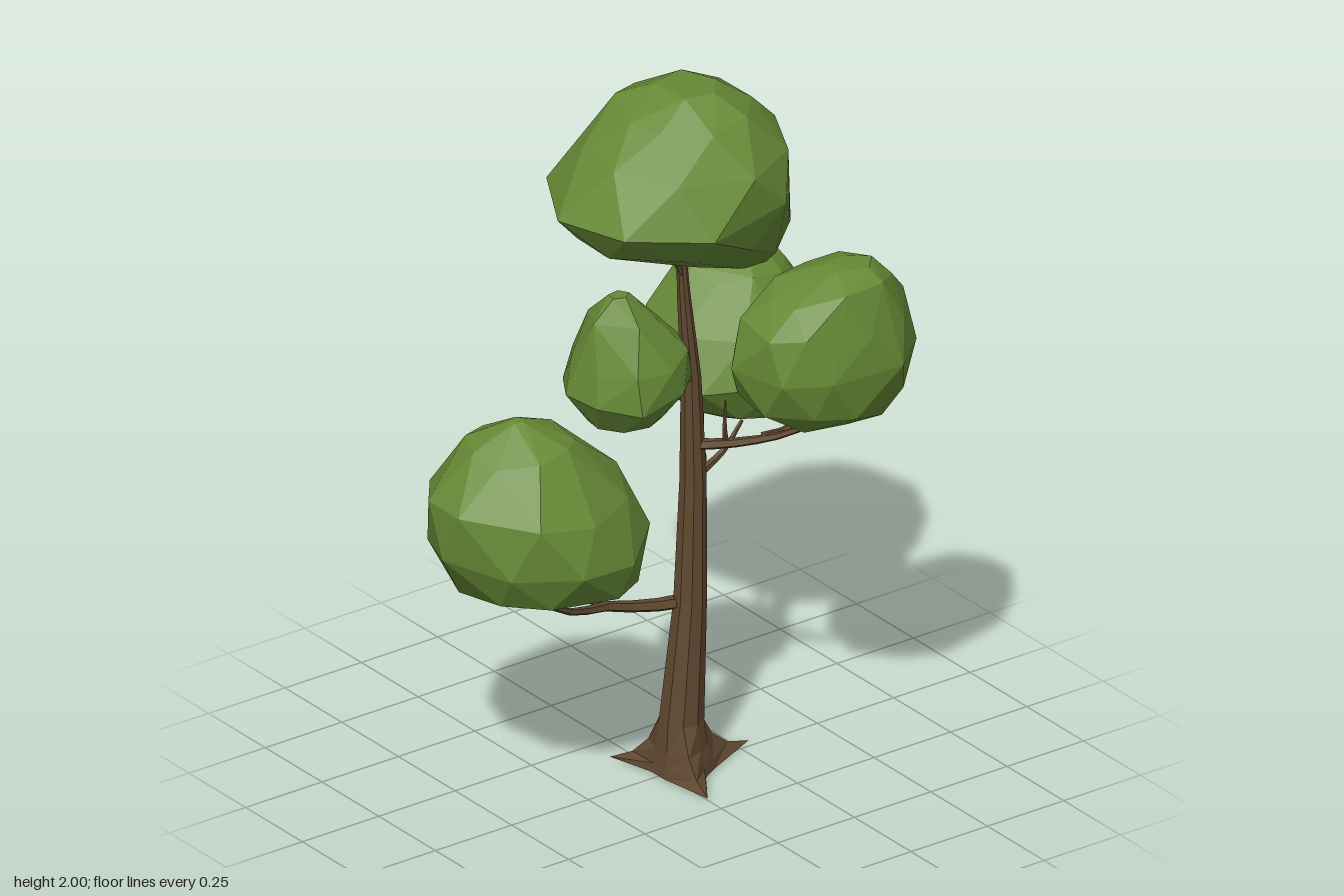
import * as THREE from 'three';
import { ConvexGeometry } from 'three/addons/geometries/ConvexGeometry.js';

const bark = new THREE.MeshStandardMaterial({ color: 0x5f4830, flatShading: true });
bark.name = 'bark brown';
const leaf = new THREE.MeshStandardMaterial({ color: 0x668a36, flatShading: true });
leaf.name = 'leaf green';

const V = (x, y, z) => new THREE.Vector3(x, y, z);

function seeded(s) {
  return () => (s = (s * 16807) % 2147483647) / 2147483647;
}

// Skin between successive rings of equal point count
function loft(rings) {
  const n = rings[0].length, pos = [], index = [];
  rings.forEach((ring) => ring.forEach((p) => pos.push(p.x, p.y, p.z)));
  for (let j = 0; j < rings.length - 1; j++) {
    for (let i = 0; i < n; i++) {
      const a = j * n + i, b = j * n + (i + 1) % n;
      index.push(a, a + n, b, b, a + n, b + n);
    }
  }
  const g = new THREE.BufferGeometry();
  g.setAttribute('position', new THREE.Float32BufferAttribute(pos, 3));
  g.setIndex(index);
  const flat = g.toNonIndexed();
  flat.computeVertexNormals();
  return flat;
}

// Tapered limb along a curve
function limb(points, r0, r1, sides = 5, steps = 7) {
  const curve = new THREE.CatmullRomCurve3(points.map((p) => V(...p)));
  const { normals, binormals } = curve.computeFrenetFrames(steps, false);
  const rings = [];
  for (let j = 0; j <= steps; j++) {
    const r = THREE.MathUtils.lerp(r0, r1, j / steps), c = curve.getPointAt(j / steps);
    rings.push(Array.from({ length: sides }, (_, i) => {
      const t = (i / sides) * Math.PI * 2;
      return c.clone().addScaledVector(normals[j], r * Math.cos(t)).addScaledVector(binormals[j], -r * Math.sin(t));
    }));
  }
  rings.push(rings[0].map(() => curve.getPointAt(1)));
  return loft(rings);
}

// Leaning trunk that spreads into three pointed roots
function trunk() {
  const tips = [V(0.29, 0.012, -0.02), V(0, 0.012, 0.19), V(-0.06, 0.012, -0.16)];
  // y, centre x, centre z, radius x, radius z, root spread
  const sections = [
    [0.005, 0.055, 0.005, 0.085, 0.085, 1], [0.03, 0.055, 0.005, 0.08, 0.08, 0.5],
    [0.075, 0.052, 0.005, 0.07, 0.068, 0.2], [0.15, 0.05, 0.005, 0.062, 0.06, 0],
    [0.5, 0.075, 0.01, 0.045, 0.046, 0], [0.85, 0.085, 0.01, 0.037, 0.036, 0],
    [1.15, 0.08, 0.008, 0.028, 0.027, 0], [1.4, 0.055, 0.01, 0.018, 0.019, 0], [1.62, 0.04, 0.01, 0.009, 0.01, 0],
  ];
  const rings = sections.map(([y, cx, cz, rx, rz, w]) => Array.from({ length: 9 }, (_, i) => {
    const t = (i / 9) * Math.PI * 2;
    const p = V(cx + rx * Math.cos(t), y, cz + rz * Math.sin(t));
    if (i % 3 === 0) {
      const tip = tips[i / 3];
      p.x += (tip.x - p.x) * w;
      p.z += (tip.z - p.z) * w;
    }
    return p;
  }));
  const point = (y, x) => rings[0].map(() => V(x, y, 0.005));
  return loft([point(0, 0.055), ...rings, point(1.63, 0.04)]);
}

// Faceted leaf clump from horizontal sections: y, x min, x max, z min, z max
function clump(sections, seed) {
  const rnd = seeded(seed), pts = [];
  sections.forEach(([y, x0, x1, z0, z1], j) => {
    const sides = x1 - x0 < 0.2 ? 5 : 9, phase = j * 0.35 + rnd() * 0.2;
    for (let i = 0; i < sides; i++) {
      const t = phase + ((i + 0.35 * (rnd() - 0.5)) / sides) * Math.PI * 2;
      const k = 0.98 + 0.06 * rnd();
      const dy = j && j < sections.length - 1 ? 0.04 * (rnd() - 0.5) : 0;
      pts.push(V((x0 + x1) / 2 + (x1 - x0) / 2 * k * Math.cos(t), y + dy,
        (z0 + z1) / 2 + (z1 - z0) / 2 * k * Math.sin(t)));
    }
  });
  return new ConvexGeometry(pts);
}

const CLUMPS = {
  crownLeaves: [[2, 0, 0.16, -0.1, 0.08], [1.95, -0.1, 0.26, -0.2, 0.17], [1.84, -0.2, 0.345, -0.28, 0.26],
    [1.71, -0.31, 0.36, -0.31, 0.29], [1.61, -0.22, 0.38, -0.25, 0.22], [1.53, 0, 0.39, -0.17, 0.15], [1.44, 0.2, 0.32, -0.04, 0.06]],
  frontLeftLeaves: [[1.54, 0.28, 0.42, 0.3, 0.4], [1.49, 0.13, 0.48, 0.2, 0.45], [1.4, 0.05, 0.53, 0.13, 0.49],
    [1.27, 0.03, 0.55, 0.09, 0.515], [1.17, 0.06, 0.53, 0.12, 0.48], [1.1, 0.16, 0.49, 0.17, 0.42], [1.06, 0.32, 0.46, 0.22, 0.34]],
  backLeftLeaves: [[1.36, 0.44, 0.5, -0.31, -0.26], [1.27, 0.3, 0.57, -0.42, -0.14], [1.15, 0.2, 0.64, -0.49, -0.05],
    [1.02, 0.17, 0.69, -0.51, 0.02], [0.9, 0.25, 0.67, -0.46, -0.05], [0.83, 0.38, 0.57, -0.36, -0.2]],
  rightLeaves: [[1.16, -0.47, -0.43, -0.06, -0.02], [1.08, -0.58, -0.3, -0.2, 0.1], [0.94, -0.69, -0.15, -0.31, 0.22],
    [0.8, -0.68, -0.09, -0.32, 0.24], [0.68, -0.6, -0.11, -0.25, 0.2], [0.62, -0.44, -0.26, -0.16, 0.05]],
  smallRightLeaves: [[1.565, -0.31, -0.25, 0.15, 0.2], [1.5, -0.36, -0.18, 0.07, 0.27], [1.38, -0.39, -0.09, 0, 0.32],
    [1.28, -0.41, -0.07, -0.02, 0.33], [1.19, -0.35, -0.14, 0.06, 0.25]],
};

// Points, start radius, end radius
const BRANCHES = {
  lowRightBranch: [[[0.07, 0.49, 0], [-0.05, 0.5, -0.02], [-0.16, 0.53, -0.03], [-0.3, 0.57, 0.01], [-0.45, 0.66, 0.06]], 0.021, 0.006],
  lowRightFork: [[[-0.16, 0.53, -0.03], [-0.24, 0.57, -0.09], [-0.31, 0.66, -0.14]], 0.012, 0.005],
  backLeftBranch: [[[0.08, 0.7, 0], [0.16, 0.73, -0.09], [0.25, 0.76, -0.17], [0.33, 0.79, -0.29], [0.39, 0.87, -0.35]], 0.021, 0.006],
  backLeftFork: [[[0.24, 0.755, -0.16], [0.32, 0.79, -0.17], [0.38, 0.86, -0.17]], 0.012, 0.005],
  frontLeftBranch: [[[0.08, 0.95, 0.01], [0.15, 0.97, 0.1], [0.25, 1.02, 0.22], [0.32, 1.1, 0.31]], 0.017, 0.006],
  frontLeftFork: [[[0.2, 1, 0.16], [0.27, 1.02, 0.19], [0.33, 1.1, 0.2]], 0.01, 0.005],
  frontLeftTwig: [[[0.14, 0.97, 0.08], [0.13, 1.02, 0.09], [0.14, 1.09, 0.08]], 0.009, 0.002],
  smallRightBranch: [[[0.08, 1.155, 0.01], [0, 1.165, 0.05], [-0.1, 1.185, 0.1], [-0.22, 1.24, 0.16]], 0.015, 0.006],
  topTwig: [[[0.055, 1.44, 0.01], [0.03, 1.49, 0.02], [-0.03, 1.57, 0.04]], 0.009, 0.004],
};

export function createModel() {
  const tree = new THREE.Group();
  tree.name = 'tree';
  const add = (name, geometry, material) => {
    const mesh = new THREE.Mesh(geometry, material);
    mesh.name = name;
    tree.add(mesh);
  };
  add('trunk', trunk(), bark);
  for (const [name, [points, r0, r1]] of Object.entries(BRANCHES)) add(name, limb(points, r0, r1), bark);
  Object.entries(CLUMPS).forEach(([name, sections], i) => add(name, clump(sections, 4211 + i * 977), leaf));
  return tree;
}
